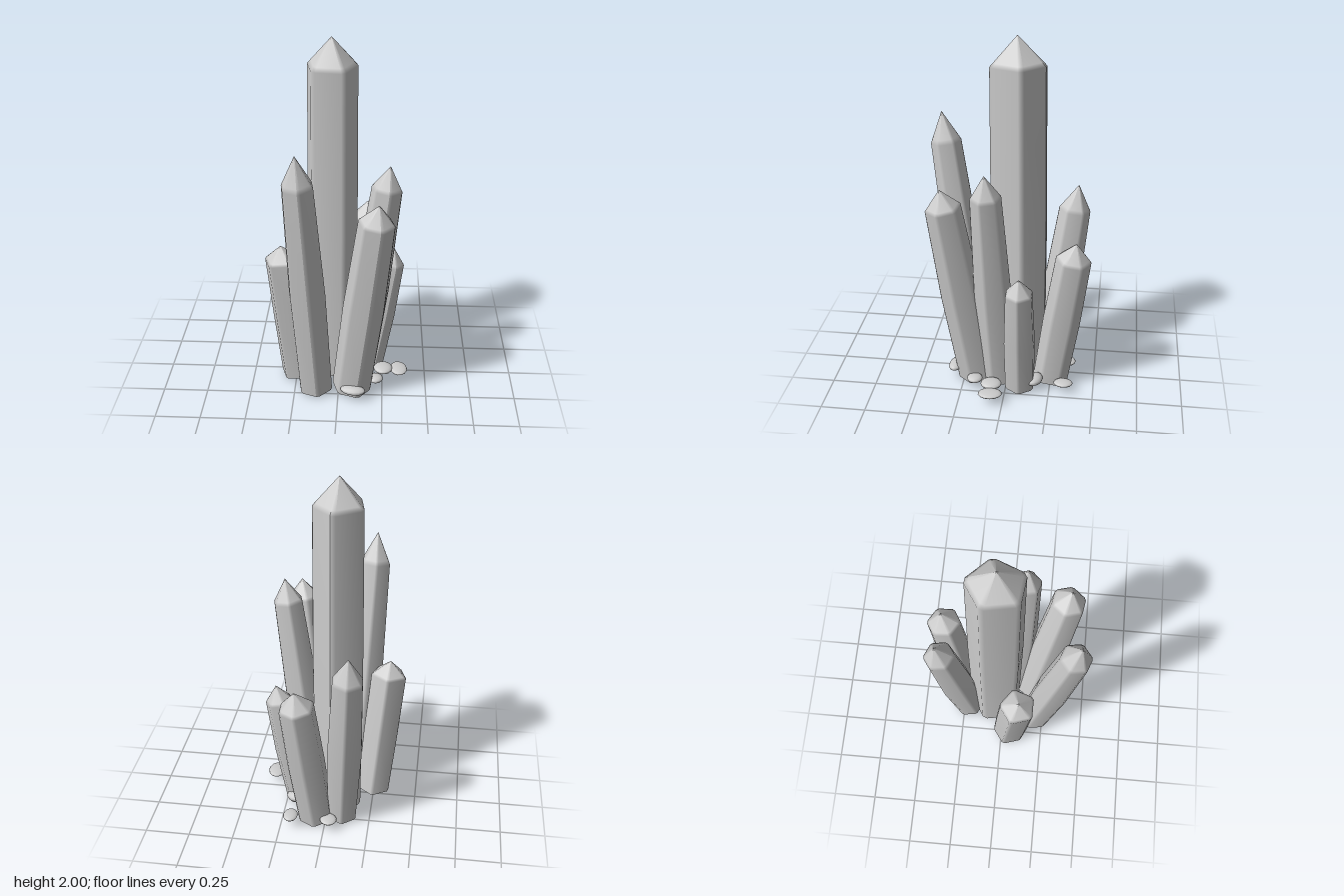
import * as THREE from 'three';

const stone = new THREE.MeshStandardMaterial({ color: 0xcccccc });
stone.name = 'pale grey stone';

const rad = THREE.MathUtils.degToRad;

// One crystal: a prism with narrow softened corners that leans from base to tip,
// closed by a pyramid cap. rings are the radii at the base, middle and shoulder;
// turn is the angle of a corner; squash narrows it sideways.
function crystal(name, base, tip, shoulder, rings, sides, turn, squash = 1) {
  const from = new THREE.Vector3(...base);
  const axis = new THREE.Vector3(...tip).sub(from);
  const height = axis.length();
  const top = height * shoulder;
  const [r0, r1, r2] = rings;
  const profile = [
    [0, 0], [r0, 0], [r0, 0], [r1, top * 0.5], [r2, top],
    [r2 * 0.86, top + (height - top) * 0.14], [0, height],
  ].map(([r, y]) => new THREE.Vector2(r, y));

  // Pair up the columns of the lathe so each pair forms one softened corner
  const geometry = new THREE.LatheGeometry(profile, sides * 2);
  const points = geometry.attributes.position;
  for (let i = 0; i <= sides * 2; i++) {
    const corner = Math.floor(i / 2) * (360 / sides);
    const phi = rad(turn + corner + (i % 2 ? 6 : -6));
    profile.forEach(({ x: r, y }, j) => {
      points.setXYZ(i * profile.length + j, r * Math.sin(phi) * squash, y, r * Math.cos(phi));
    });
  }
  geometry.computeVertexNormals();

  const mesh = new THREE.Mesh(geometry, stone);
  mesh.name = name;
  mesh.position.copy(from);
  mesh.quaternion.setFromUnitVectors(new THREE.Vector3(0, 1, 0), axis.normalize());
  return mesh;
}

// Flat rounded chip lying at the foot of the cluster
function pebble(x, y, z, rx, ry, rz, turn) {
  const geometry = new THREE.SphereGeometry(1, 14, 8);
  geometry.scale(rx, ry, rz);
  const mesh = new THREE.Mesh(geometry, stone);
  mesh.name = 'pebble';
  mesh.position.set(x, y, z);
  mesh.rotation.y = turn;
  return mesh;
}

export function createModel() {
  const model = new THREE.Group();
  model.name = 'crystalCluster';

  // name, base centre, tip, shoulder fraction, radii, sides, corner angle, squash
  const crystals = [
    ['mainCrystal', [-0.05, 0.005, -0.05], [-0.045, 2.0, -0.035], 0.922, [0.155, 0.16, 0.153], 5, 174, 0.9],
    ['frontLeaningCrystal', [-0.13, 0.02, 0.2], [-0.208, 1.52, 0.403], 0.885, [0.097, 0.103, 0.085], 6, 10],
    ['frontLeftCrystal', [0.075, 0.018, 0.18], [0.215, 1.235, 0.345], 0.91, [0.11, 0.113, 0.097], 6, 20],
    ['leftCrystal', [0.1, 0.018, 0.05], [0.27, 1.35, 0.1], 0.9, [0.097, 0.102, 0.083], 6, 15],
    ['smallLeftCrystal', [0.17, 0.018, -0.08], [0.303, 0.775, -0.085], 0.87, [0.087, 0.09, 0.077], 6, 30],
    ['backRightCrystal', [-0.088, 0.018, -0.22], [-0.135, 1.15, -0.37], 0.87, [0.088, 0.103, 0.087], 6, 5],
    ['backLeftCrystal', [0.06, 0.018, -0.25], [0.15, 0.93, -0.38], 0.885, [0.1, 0.105, 0.097], 6, 0],
    ['rightCrystal', [-0.245, 0.018, 0.048], [-0.322, 0.87, 0.105], 0.9, [0.095, 0.1, 0.1], 5, 36],
  ];
  for (const c of crystals) model.add(crystal(...c));

  // position, radii, turn
  const pebbles = [
    [0.345, 0.06, 0.07, 0.05, 0.014, 0.068, 0.1],
    [0.085, 0.066, 0.3, 0.072, 0.023, 0.042, -0.2],
    [0.21, 0.062, 0.175, 0.045, 0.02, 0.045, 0.4],
    [0.255, 0.065, 0.075, 0.055, 0.02, 0.06, 0],
    [0.185, 0.066, -0.165, 0.06, 0.028, 0.046, -0.3],
    [0.195, 0.06, -0.33, 0.042, 0.015, 0.055, 0],
    [-0.025, 0.06, -0.34, 0.048, 0.015, 0.05, 0.3],
  ];
  for (const p of pebbles) model.add(pebble(...p));

  return model;
}
